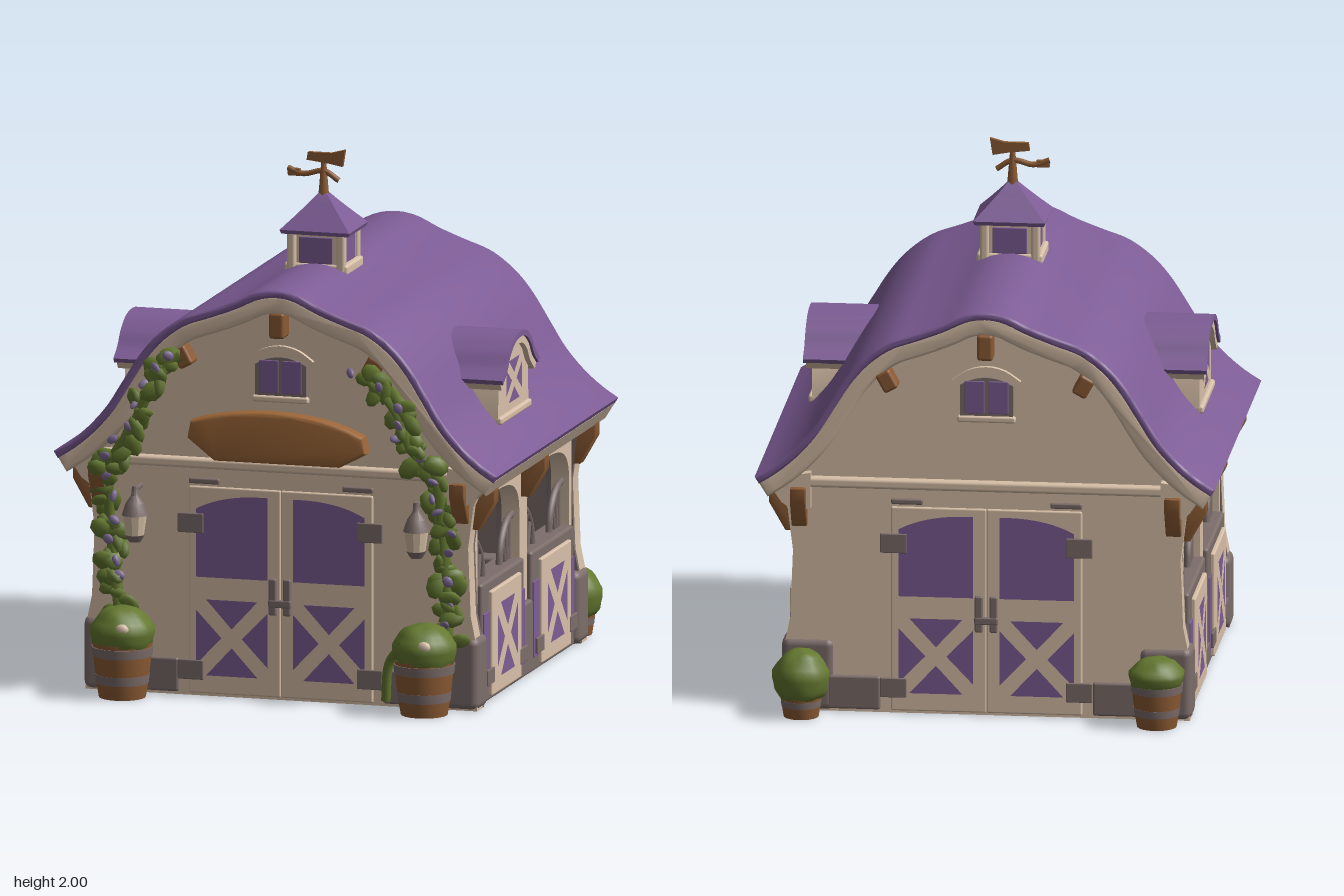
import * as THREE from 'three';
import { toCreasedNormals } from 'three/addons/utils/BufferGeometryUtils.js';
import { RoundedBoxGeometry } from 'three/addons/geometries/RoundedBoxGeometry.js';

const mat = (name, color) => new THREE.MeshStandardMaterial({ name, color });
const M = {
  purple: mat('purple', 0x7d5c95),
  cream: mat('cream', 0xd8c0a8),
  stone: mat('stone', 0x7d6e6b),
  wood: mat('wood', 0x8c5b34),
  signWood: mat('signWood', 0x9c6638),
  green: mat('green', 0x647830),
  lavender: mat('lavender', 0x7f6c96),
};
const V2 = (x, y) => new THREE.Vector2(x, y);
const V3 = (x, y, z) => new THREE.Vector3(x, y, z);

let seed = 7;
const rnd = (a, b) => { seed = (seed * 16807) % 2147483647; return a + (b - a) * seed / 2147483647; };

function add(parent, name, geo, m, x = 0, y = 0, z = 0) {
  const mesh = new THREE.Mesh(geo, m);
  mesh.name = name;
  mesh.position.set(x, y, z);
  parent.add(mesh);
  return mesh;
}
const box = (p, name, m, w, h, d, x, y, z, r = 0.012) =>
  add(p, name, new RoundedBoxGeometry(w, h, d, 2, Math.min(r, w / 3, h / 3, d / 3)), m, x, y, z);
const slab = (shape, depth, bevel = 0) => toCreasedNormals(new THREE.ExtrudeGeometry(shape, {
  depth, curveSegments: 12, bevelEnabled: bevel > 0, bevelSize: bevel, bevelThickness: bevel, bevelSegments: 3 }), 0.6);
const tube = (pts, r, n = 16) => new THREE.TubeGeometry(new THREE.CatmullRomCurve3(pts), n, r, 6);

// Mirrored smooth profile, and a copy moved inwards along its normals
function profile(half, n) {
  const left = half.slice(1).reverse().map(([x, y]) => V2(-x, y));
  return new THREE.SplineCurve([...left, ...half.map(([x, y]) => V2(x, y))]).getSpacedPoints(n);
}
const inset = (pts, a) => pts.map((p, i) => {
  const t = pts[Math.min(i + 1, pts.length - 1)].clone().sub(pts[Math.max(i - 1, 0)]).normalize();
  return V2(p.x + t.y * a, p.y - t.x * a);
});
const band = (pts, a, b, depth, bevel) =>
  slab(new THREE.Shape([...inset(pts, a), ...inset(pts, b).reverse()]), depth, bevel);

const ROOF = profile([[0, 1.58], [0.08, 1.567], [0.17, 1.525], [0.27, 1.487], [0.37, 1.45], [0.46, 1.385],
  [0.53, 1.305], [0.6, 1.195], [0.66, 1.1], [0.73, 1.02], [0.8, 0.96], [0.858, 0.922]], 72);

// Four triangles that leave a cross between them
function crossPanel(p, m, w, h, x, y, z, g = 0.04) {
  const a = w / 2, b = h / 2;
  const tri = pts => new THREE.Shape(pts.map(q => V2(...q)));
  const shapes = [];
  for (const s of [-1, 1]) {
    shapes.push(tri([[-a + g, s * b], [a - g, s * b], [0, s * g * 0.9]]));
    shapes.push(tri([[s * a, -b + g], [s * a, b - g], [s * g, 0]]));
  }
  return add(p, 'crossPanel', new THREE.ShapeGeometry(shapes), m, x, y, z);
}

function bracket(p, x, y, z, h = 0.15) {
  const s = new THREE.Shape([V2(0, 0), V2(0.03, 0), V2(0.09, h * 0.7), V2(0.09, h), V2(0, h)]);
  add(p, 'bracket', slab(s, 0.05, 0.004), M.wood, x + 0.025, y, z).rotation.y = -Math.PI / 2;
}

// Gable end wall with its double door, window and corner stones
function endWall(s) {
  const g = new THREE.Group();
  g.name = s > 0 ? 'frontWall' : 'backWall';
  g.rotation.y = s > 0 ? 0 : Math.PI;
  g.position.z = -0.02;
  const flank = [[0.765, 0], [0.76, 0.26], [0.74, 0.36], [0.73, 0.62], [0.75, 0.78], [0.79, 0.87]];
  const top = inset(ROOF, 0.05).filter(p => Math.abs(p.x) < 0.79);
  const shape = new THREE.Shape([...flank.map(([x, y]) => V2(-x, y)), ...top,
    ...flank.map(([x, y]) => V2(x, y)).reverse()]);
  add(g, 'wall', slab(shape, 0.07), M.cream, 0, 0, 0.65);
  add(g, 'innerWall', slab(shape, 0.02), M.stone, 0, 0, 0.63);
  box(g, 'ledge', M.cream, 1.56, 0.04, 0.08, 0, 0.89, 0.71, 0.02);
  for (const x of [-1, 1]) {
    box(g, 'cornerStone', M.stone, 0.2, 0.28, 0.14, x * 0.673, 0.14, 0.662, 0.03);
    box(g, 'baseStone', M.stone, 0.2, 0.13, 0.03, x * 0.5, 0.075, 0.715);
    box(g, 'doorLeaf', M.cream, 0.36, 0.79, 0.02, x * 0.18, 0.405, 0.72);
    const pane = new THREE.Shape();
    pane.moveTo(x * 0.05, 0.455); pane.lineTo(x * 0.33, 0.455); pane.lineTo(x * 0.33, 0.715);
    pane.quadraticCurveTo(x * 0.22, 0.775, x * 0.05, 0.77);
    add(g, 'doorPane', new THREE.ShapeGeometry(pane), M.purple, 0, 0, 0.734);
    crossPanel(g, M.purple, 0.28, 0.29, x * 0.19, 0.225, 0.734);
    // Cross brace seen from indoors
    for (const r of [-1, 1])
      box(g, 'innerBrace', M.cream, 0.06, 0.38, 0.008, x * 0.19, 0.22, 0.628 + r * 0.001, 0.002).rotation.z = r * 0.75;
    for (const y of [0.1, 0.66]) box(g, 'hinge', M.stone, 0.1, 0.075, 0.012, x * 0.35, y, 0.734);
    box(g, 'lintelStone', M.stone, 0.12, 0.022, 0.02, x * 0.3, 0.82, 0.72);
    box(g, 'latch', M.stone, 0.03, 0.14, 0.02, x * 0.028, 0.395, 0.737);
    box(g, 'gableBracket', M.wood, 0.06, 0.08, 0.08, x * 0.37, 1.3, 0.75).rotation.z = -x * 0.5;
    bracket(g, x * 0.705, 0.72, 0.70, 0.15);
  }
  box(g, 'latchBar', M.stone, 0.09, 0.03, 0.02, 0, 0.37, 0.739);
  box(g, 'ridgeBracket', M.wood, 0.06, 0.1, 0.08, 0, 1.44, 0.75);
  // Gable window
  const arch = (w, y0, y1, y2) => {
    const a = new THREE.Shape([V2(-w, y0), V2(w, y0), V2(w, y1)]);
    a.quadraticCurveTo(0, y2, -w, y1);
    return a;
  };
  add(g, 'windowFrame', slab(arch(0.1, 1.16, 1.28, 1.34), 0.02), M.stone, 0, 0, 0.71);
  for (const x of [-1, 1]) box(g, 'windowPane', M.purple, 0.075, 0.125, 0.008, x * 0.045, 1.235, 0.732, 0.003);
  box(g, 'windowSill', M.cream, 0.22, 0.025, 0.03, 0, 1.15, 0.725);
  add(g, 'windowHood', band(profile([[0, 1.355], [0.07, 1.34], [0.13, 1.3]], 12), 0, 0.03, 0.03), M.cream, 0, 0, 0.71);
  return g;
}

// Open side with two arches, half doors, railings and a dormer
function sideWall(s) {
  const g = new THREE.Group();
  g.name = s > 0 ? 'leftSide' : 'rightSide';
  g.rotation.y = s * Math.PI / 2;
  g.position.z = -0.02;
  const shape = new THREE.Shape([V2(-0.7, 0), V2(0.7, 0), V2(0.7, 0.88), V2(-0.7, 0.88)]);
  for (const c of [-0.325, 0.325]) {
    const h = new THREE.Path();
    h.moveTo(c - 0.275, 0.455); h.lineTo(c + 0.275, 0.455); h.lineTo(c + 0.275, 0.64);
    h.bezierCurveTo(c + 0.27, 0.73, c + 0.2, 0.77, c, 0.77);
    h.bezierCurveTo(c - 0.2, 0.77, c - 0.27, 0.73, c - 0.275, 0.64);
    shape.holes.push(h);
  }
  add(g, 'wall', slab(shape, 0.07), M.cream, 0, 0, 0.66);
  add(g, 'innerWall', slab(shape, 0.02), M.stone, 0, 0, 0.64);
  box(g, 'plinth', M.stone, 1.4, 0.28, 0.1, 0, 0.14, 0.70);
  box(g, 'stallPartition', M.stone, 0.1, 0.45, 0.4, 0, 0.225, 0.46);
  for (const c of [-0.325, 0.325]) {
    box(g, 'halfDoor', M.stone, 0.55, 0.45, 0.11, c, 0.235, 0.695);
    box(g, 'doorBacking', M.purple, 0.53, 0.29, 0.01, c, 0.2, 0.75, 0.003);
    box(g, 'doorFrame', M.cream, 0.385, 0.4, 0.02, c, 0.22, 0.755);
    crossPanel(g, M.purple, 0.26, 0.28, c, 0.22, 0.768);
    box(g, 'innerDoorPanel', M.purple, 0.26, 0.26, 0.008, c, 0.2, 0.637, 0.002);
    for (const x of [-1, 1]) {
      box(g, 'hinge', M.stone, 0.09, 0.06, 0.012, c + x * 0.215, 0.1, 0.763);
      // Curved railing beside each post
      const rail = (t) => V3(c + x * (0.275 - 0.165 * Math.sin(t)), 0.45 + 0.175 * Math.cos(t), 0.7);
      add(g, 'railing', tube([0, 0.3, 0.6, 0.9, 1.2, 1.57].map(rail), 0.014), M.stone);
      for (const t of [0.25, 0.55, 0.9])
        add(g, 'railingBar', tube([V3(c + x * (0.255 - 0.1 * Math.sin(t)), 0.45, 0.7), rail(t)], 0.01, 2), M.stone);
    }
  }
  for (const u of [-0.66, 0, 0.66]) bracket(g, u, 0.69, 0.73, 0.15);
  // Dormer
  const d = new THREE.Group();
  d.name = 'dormer';
  d.position.x = -s * 0.13;
  g.add(d);
  const face = new THREE.Shape([V2(-0.2, 1.01), V2(0.2, 1.01), V2(0.19, 1.21)]);
  face.bezierCurveTo(0.12, 1.33, -0.12, 1.33, -0.19, 1.21);
  add(d, 'dormerWall', slab(face, 0.24), M.cream, 0, 0, 0.49);
  const hood = profile([[0, 1.34], [0.08, 1.328], [0.15, 1.285], [0.19, 1.235], [0.245, 1.195]], 28);
  add(d, 'dormerRoof', band(hood, 0, 0.022, 0.27), M.purple, 0, 0, 0.49);
  add(d, 'dormerTrim', band(hood, 0.02, 0.05, 0.26), M.cream, 0, 0, 0.49);
  crossPanel(d, M.purple, 0.2, 0.16, 0, 1.155, 0.734, 0.03);
  box(d, 'dormerSill', M.cream, 0.4, 0.03, 0.03, 0, 1.03, 0.73);
  return g;
}

// Barrel planter with a leafy mound
function planter(p, x, z, k, moundY, moundR, moundH) {
  const g = new THREE.Group();
  g.name = 'planter';
  g.position.set(x, 0, z);
  p.add(g);
  const lathe = pts => toCreasedNormals(new THREE.LatheGeometry(pts.map(([r, y]) => V2(r * k, y * k)), 20), 0.6);
  add(g, 'barrel', lathe([[0, 0], [0.088, 0], [0.1, 0.07], [0.112, 0.19], [0.113, 0.21], [0, 0.21]]), M.wood);
  for (const [r, y] of [[0.095, 0.055], [0.109, 0.16]])
    add(g, 'barrelBand', lathe([[r, y], [r + 0.004, y], [r + 0.008, y + 0.035], [r, y + 0.035]]), M.stone);
  const geo = new THREE.SphereGeometry(1, 20, 14), a = geo.attributes.position;
  for (let i = 0; i < a.count; i++) {
    const v = V3().fromBufferAttribute(a, i);
    v.multiplyScalar(1 + 0.04 * Math.sin(v.x * 7 + x) * Math.cos(v.z * 6) + 0.03 * Math.sin(v.y * 9));
    a.setXYZ(i, v.x * moundR, v.y * moundH, v.z * moundR);
  }
  geo.computeVertexNormals();
  add(g, 'leafMound', geo, M.green, 0, moundY, 0);
  return g;
}

// Climbing vine with pointed leaves and blossoms
function vine(p, pts) {
  const g = new THREE.Group();
  g.name = 'vine';
  p.add(g);
  const curve = new THREE.CatmullRomCurve3(pts.map(q => V3(...q)));
  add(g, 'stem', new THREE.TubeGeometry(curve, 40, 0.022, 6), M.green);
  const leaf = new THREE.OctahedronGeometry(1, 1), bud = new THREE.SphereGeometry(1, 8, 6);
  for (let i = 0; i < 70; i++) {
    const c = curve.getPointAt((i + 0.5) / 70), bloom = i % 5 === 4;
    const m = add(g, bloom ? 'blossom' : 'leaf', bloom ? bud : leaf, bloom ? M.lavender : M.green,
      c.x + rnd(-0.045, 0.045), c.y + rnd(-0.02, 0.02), c.z + (bloom ? rnd(0.012, 0.03) : rnd(-0.01, 0.015)));
    const r = bloom ? 0.024 : rnd(0.035, 0.058);
    m.scale.set(r, r * rnd(0.5, 0.8), r * 0.4);
    m.rotation.set(rnd(-0.5, 0.5), rnd(-0.5, 0.5), rnd(-1.5, 1.5));
  }
}

export function createModel() {
  const model = new THREE.Group();
  model.name = 'stable';
  add(model, 'roof', band(ROOF, 0.011, 0.02, 1.578, 0.011), M.purple, 0, 0, -0.804);
  add(model, 'roofTrim', band(ROOF, 0.034, 0.08, 1.556, 0.012), M.cream, 0, 0, -0.793);
  box(model, 'ceiling', M.stone, 1.36, 0.02, 1.34, 0, 0.85, -0.02);
  for (const s of [1, -1]) {
    model.add(endWall(s), sideWall(s));
    const cove = new THREE.Shape([V2(s * 0.66, 0.79), V2(s * 0.735, 0.79), V2(s * 0.77, 0.815),
      V2(s * 0.8, 0.86), V2(s * 0.825, 0.905), V2(s * 0.66, 0.93)]);
    add(model, 'eavesCove', slab(cove, 1.52), M.cream, 0, 0, -0.78);
  }

  // Cupola with flared roof and weathervane
  const cup = new THREE.Group();
  cup.name = 'cupola';
  cup.position.z = 0.145;
  model.add(cup);
  box(cup, 'cupolaBody', M.cream, 0.205, 0.2, 0.2, 0, 1.6, 0);
  box(cup, 'cupolaBase', M.cream, 0.25, 0.08, 0.215, 0, 1.54, 0);
  for (let i = 0; i < 4; i++) {
    const side = new THREE.Group();
    side.name = 'cupolaSide';
    side.rotation.y = i * Math.PI / 2;
    cup.add(side);
    box(side, 'cupolaWindow', M.purple, 0.13, 0.1, 0.008, 0, 1.63, 0.102, 0.003);
    box(side, 'cupolaPost', M.cream, 0.035, 0.16, 0.035, 0.098, 1.625, 0.095);
  }
  const cone = new THREE.LatheGeometry([[0, 1.69], [0.185, 1.69], [0.193, 1.705], [0.13, 1.75], [0.07, 1.795], [0.02, 1.835], [0, 1.84]]
    .map(q => V2(...q)), 4);
  cone.rotateY(Math.PI / 4);
  add(cup, 'cupolaRoof', toCreasedNormals(cone, 0.7), M.purple).scale.z = 0.9;
  add(cup, 'vanePost', new THREE.CylinderGeometry(0.009, 0.022, 0.15, 8), M.wood, 0, 1.885, 0);
  add(cup, 'vaneArm', tube([V3(-0.14, 1.92, 0), V3(-0.08, 1.9, 0), V3(0, 1.915, 0), V3(0.06, 1.88, 0)], 0.011), M.wood);
  box(cup, 'vaneTail', M.wood, 0.05, 0.03, 0.014, -0.115, 1.905, 0);
  const head = new THREE.Shape([V2(-0.065, 1.955), V2(0.02, 1.945), V2(0.075, 1.935), V2(0.085, 2), V2(0.03, 1.985), V2(-0.06, 1.985)]);
  add(cup, 'vaneHead', slab(head, 0.018), M.wood, 0, 0, -0.009);

  // Blank sign board
  const sign = new THREE.Shape();
  sign.moveTo(-0.24, 0.925); sign.lineTo(0.24, 0.925); sign.lineTo(0.335, 0.975); sign.lineTo(0.325, 1.02);
  sign.bezierCurveTo(0.15, 1.11, -0.15, 1.11, -0.325, 1.05); sign.lineTo(-0.335, 1.0);
  add(model, 'signBoard', slab(sign, 0.04, 0.014), M.signWood, 0, 0, 0.715);

  // Lanterns
  for (const x of [-0.55, 0.55]) {
    const l = new THREE.Group();
    l.name = 'lantern';
    l.position.set(x, 0, 0.775);
    model.add(l);
    const part = (name, m, pts) => add(l, name, toCreasedNormals(new THREE.LatheGeometry(pts.map(q => V2(...q)), 10), 0.6), m);
    part('lanternCap', M.stone, [[0, 0.69], [0.05, 0.69], [0.035, 0.735], [0.014, 0.765], [0.011, 0.8], [0, 0.8]]);
    part('lanternGlass', M.cream, [[0.034, 0.612], [0.045, 0.69]]);
    part('lanternBase', M.stone, [[0, 0.585], [0.022, 0.588], [0.038, 0.615], [0, 0.617]]);
    box(l, 'lanternArm', M.stone, 0.02, 0.02, 0.09, 0, 0.79, -0.035);
  }

  // Planting
  for (const x of [-0.59, 0.59]) {
    const g = planter(model, x, 0.805, 1, 0.245, 0.122, 0.1);
    const bloom = add(g, 'paleBloom', new THREE.SphereGeometry(1, 10, 8), M.cream, 0.03, 0.275, 0.105);
    bloom.scale.set(0.026, 0.022, 0.016);
  }
  planter(model, -0.65, -0.825, 0.85, 0.195, 0.106, 0.07);
  planter(model, 0.69, -0.825, 0.75, 0.15, 0.106, 0.108);
  vine(model, [[-0.62, 0.28, 0.73], [-0.65, 0.5, 0.71], [-0.67, 0.72, 0.71], [-0.65, 0.88, 0.76],
    [-0.56, 1.02, 0.78], [-0.5, 1.15, 0.79], [-0.45, 1.25, 0.79], [-0.37, 1.31, 0.78]]);
  vine(model, [[0.66, 0.28, 0.73], [0.65, 0.5, 0.71], [0.63, 0.72, 0.71], [0.61, 0.9, 0.75],
    [0.53, 1.0, 0.77], [0.48, 1.13, 0.78], [0.42, 1.21, 0.78], [0.33, 1.28, 0.77]]);
  add(model, 'trailingVine', tube([V3(0.53, 0.28, 0.88), V3(0.47, 0.2, 0.86), V3(0.45, 0.05, 0.84)], 0.018), M.green);
  return model;
}
